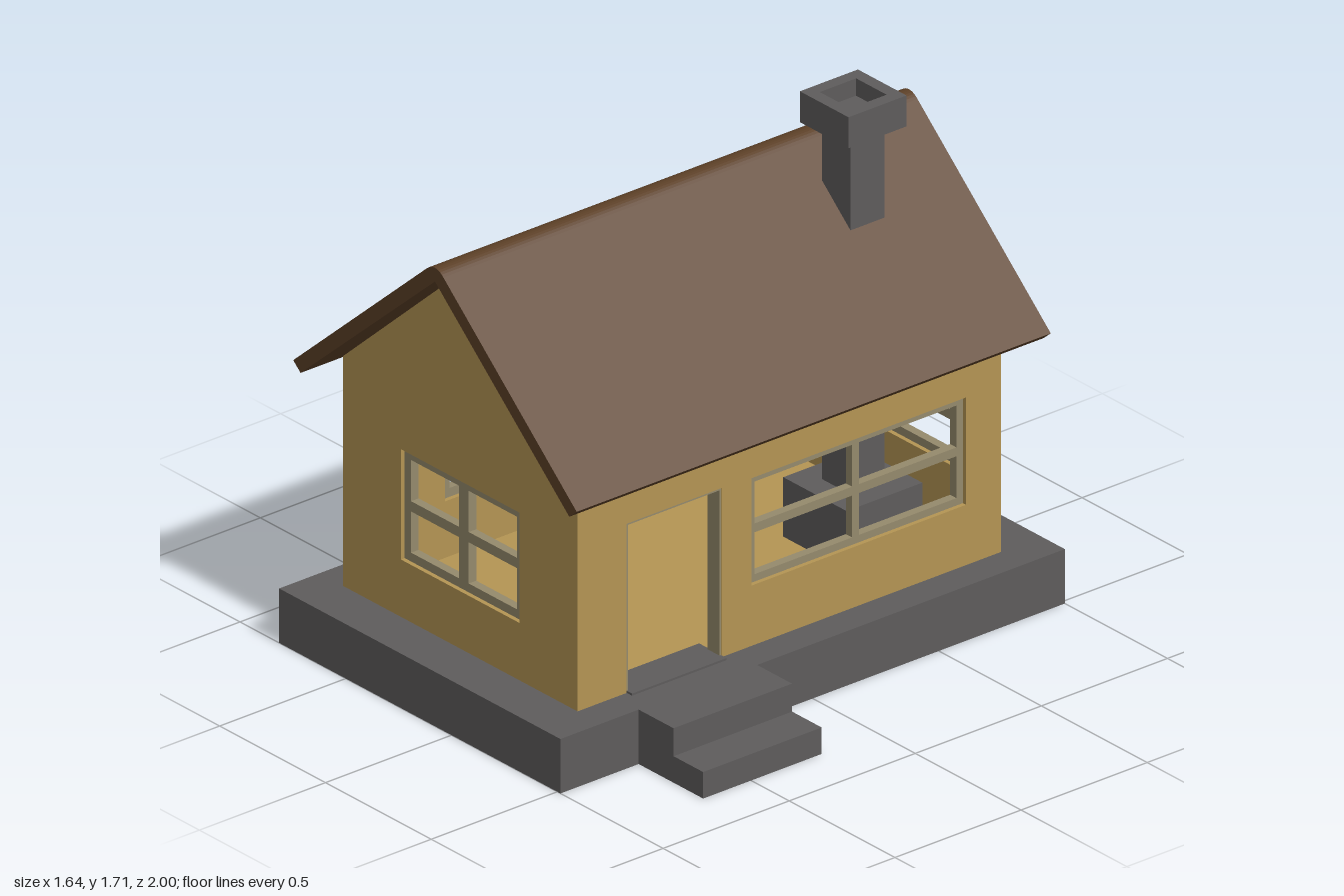
import * as THREE from 'three';

const FLOOR = 0.185, WALL = 0.06, EAVE = 0.965;

function material(name, color, side = THREE.FrontSide) {
  const m = new THREE.MeshStandardMaterial({ color, side });
  m.name = name;
  return m;
}

// Closed outline from [x, y] pairs
function outline(points, Type = THREE.Shape) {
  return new Type(points.map(([x, y]) => new THREE.Vector2(x, y)));
}

function rect(x0, x1, y0, y1, Type = THREE.Path) {
  return outline([[x0, y0], [x1, y0], [x1, y1], [x0, y1]], Type);
}

// Extrusion centred on its own depth
function slab(shape, depth, curveSegments = 8) {
  const g = new THREE.ExtrudeGeometry(shape, { depth, bevelEnabled: false, curveSegments });
  return g.translate(0, 0, -depth / 2);
}

// Box given by its limits; skipped faces use the order +x -x +y -y +z -z
function box(x0, x1, y0, y1, z0, z1, skip = []) {
  const g = new THREE.BoxGeometry(x1 - x0, y1 - y0, z1 - z0);
  const index = Array.from(g.index.array);
  g.setIndex(index.filter((_, i) => !skip.includes(Math.floor(i / 6))));
  g.clearGroups();
  return g.translate((x0 + x1) / 2, (y0 + y1) / 2, (z0 + z1) / 2);
}

export function createModel() {
  const house = new THREE.Group();
  house.name = 'house';
  const plaster = material('ochre plaster', 0xb49554);
  const wood = material('grey window wood', 0x958a6c);
  const roofBrown = material('brown roof', 0x5c4027);
  const stone = material('dark grey stone', 0x5e5c5c, THREE.DoubleSide);

  function add(name, geometry, mat, parent = house) {
    const mesh = new THREE.Mesh(geometry, mat);
    mesh.name = name;
    parent.add(mesh);
    return mesh;
  }

  // Foundation shells, open underneath
  add('foundation', box(-0.815, 0.515, 0, FLOOR, -1, 1, [3]), stone);
  add('porch', box(0.515, 0.68, 0, FLOOR, 0.22, 0.69, [1, 3]), stone);
  add('step', box(0.68, 0.82, 0, 0.09, 0.22, 0.69, [1, 3]), stone);
  add('floor', box(-0.7, 0.4, 0.178, 0.188, -0.835, 0.835), plaster);
  add('threshold', box(0.3, 0.43, 0.184, 0.192, 0.27, 0.645), stone);

  // Four-pane window frame that fills an opening
  function windowFrame({ x0, x1, y0, y1, edge, barX, barY }) {
    const frame = rect(x0, x1, y0, y1, THREE.Shape);
    const cx = (x0 + x1) / 2, cy = (y0 + y1) / 2;
    const columns = [[x0 + edge, cx - barX / 2], [cx + barX / 2, x1 - edge]];
    const rows = [[y0 + edge, cy - barY / 2], [cy + barY / 2, y1 - edge]];
    for (const [a, b] of columns) {
      for (const [c, d] of rows) frame.holes.push(rect(a, b, c, d));
    }
    return slab(frame, 0.03);
  }

  // Wall with one window opening and its frame
  function wall(name, points, win, x, z, turn) {
    const group = new THREE.Group();
    group.name = name;
    const shape = outline(points);
    shape.holes.push(rect(win.x0, win.x1, win.y0, win.y1));
    add(name + 'Panel', slab(shape, WALL), plaster, group);
    add(name + 'WindowFrame', windowFrame(win), wood, group);
    group.position.set(x, 0, z);
    group.rotation.y = turn;
    house.add(group);
  }

  const gable = [[-0.705, FLOOR], [0.405, FLOOR], [0.405, EAVE], [-0.15, 1.46], [-0.705, EAVE]];
  wall('frontWall', gable,
    { x0: -0.43, x1: 0.13, y0: 0.38, y1: 0.755, edge: 0.03, barX: 0.045, barY: 0.035 }, 0, 0.84 - WALL / 2, 0);
  wall('backWall', gable,
    { x0: -0.545, x1: 0.255, y0: 0.435, y1: 0.755, edge: 0.028, barX: 0.04, barY: 0.035 }, 0, -0.84 + WALL / 2, 0);

  // Side walls run along z; the door is a notch in one of them
  const end = 0.84 - WALL;
  const door = { a: -0.645, b: -0.27, top: 0.76 };
  wall('doorWall',
    [[-end, FLOOR], [door.a, FLOOR], [door.a, door.top], [door.b, door.top], [door.b, FLOOR],
      [end, FLOOR], [end, EAVE], [-end, EAVE]],
    { x0: -0.15, x1: 0.7, y0: 0.39, y1: 0.755, edge: 0.025, barX: 0.027, barY: 0.03 },
    0.405 - WALL / 2, 0, Math.PI / 2);
  wall('plainWall', [[-end, FLOOR], [end, FLOOR], [end, EAVE], [-end, EAVE]],
    { x0: -0.485, x1: 0.485, y0: 0.38, y1: 0.755, edge: 0.03, barX: 0.036, barY: 0.03 },
    -0.705 + WALL / 2, 0, Math.PI / 2);

  // Thin lining around the doorway
  const t = 0.006;
  const lining = outline([
    [door.a, FLOOR], [door.a + t, FLOOR], [door.a + t, door.top - t], [door.b - t, door.top - t],
    [door.b - t, FLOOR], [door.b, FLOOR], [door.b, door.top], [door.a, door.top]]);
  const doorFrame = add('doorFrame', slab(lining, WALL - 0.002), wood);
  doorFrame.position.x = 0.405 - WALL / 2;
  doorFrame.rotation.y = Math.PI / 2;

  // Roof section with a rounded ridge
  const roof = new THREE.Shape();
  roof.moveTo(-0.785, 0.91);
  roof.lineTo(-0.15, 1.465);
  roof.lineTo(0.485, 0.91);
  roof.lineTo(0.52, 0.94);
  roof.lineTo(-0.11, 1.494);
  roof.quadraticCurveTo(-0.15, 1.53, -0.19, 1.494);
  roof.lineTo(-0.82, 0.94);
  roof.closePath();
  add('roof', slab(roof, 1.88, 10), roofBrown);

  // Chimney rising from a hearth, with a recessed cap
  const chimney = new THREE.Group();
  chimney.name = 'chimney';
  house.add(chimney);
  add('hearth', box(-0.095, 0.205, 0.188, 0.39, -0.695, -0.395), stone, chimney);
  add('chimneyShaft', box(-0.01, 0.125, 0.39, 1.65, -0.612, -0.477), stone, chimney);
  const cap = rect(-0.115, 0.115, -0.115, 0.115, THREE.Shape);
  cap.holes.push(rect(-0.072, 0.072, -0.072, 0.072));
  const capMesh = add('chimneyCap', slab(cap, 0.105), stone, chimney);
  capMesh.rotation.x = -Math.PI / 2;
  capMesh.position.set(0.057, 1.6525, -0.545);
  return house;
}
